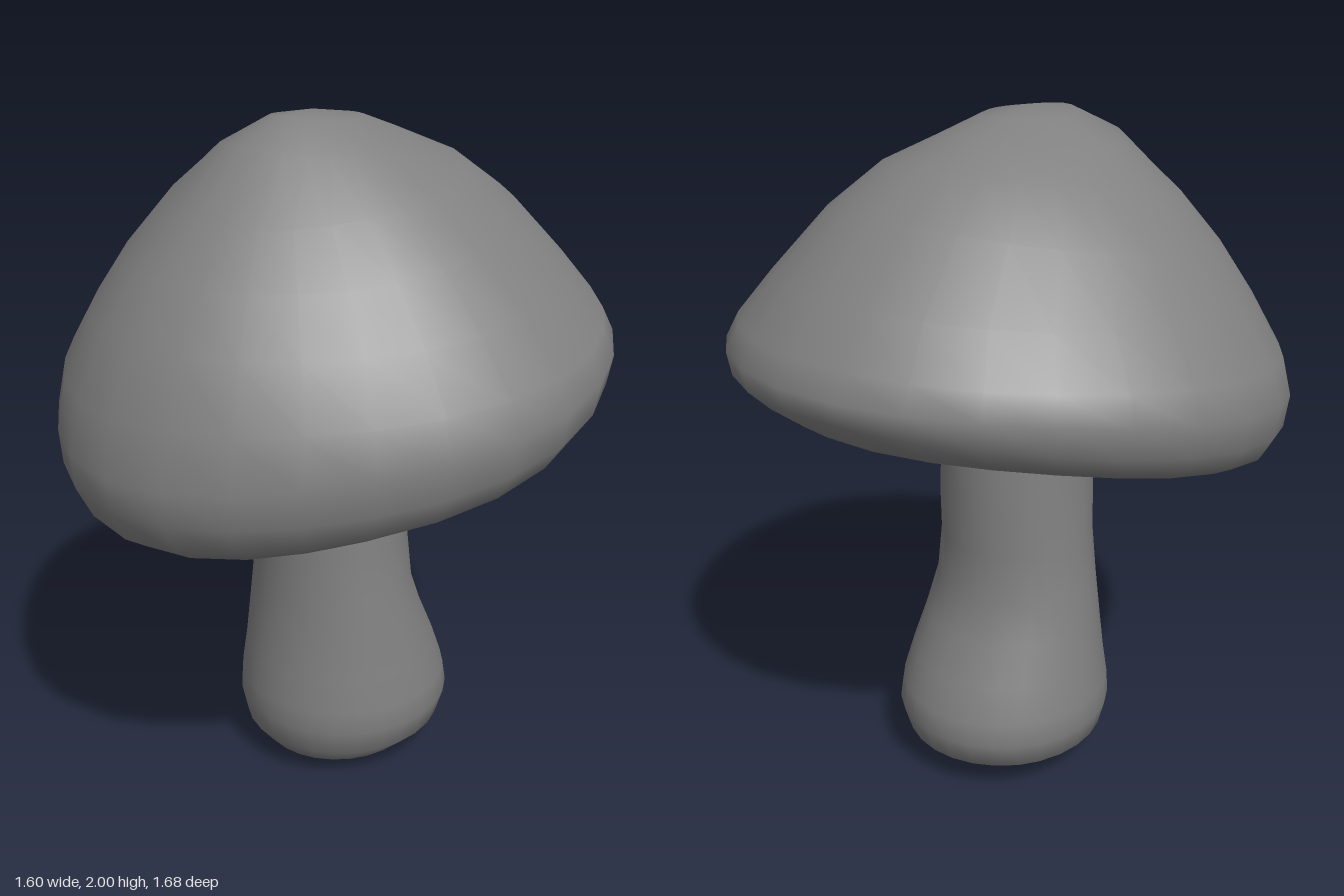
import * as THREE from 'three';
import { mergeVertices } from 'three/addons/utils/BufferGeometryUtils.js';

const SEGMENTS = 28;

// Skin through tilted oval rings, listed from top to bottom.
// Ring: [front z, front y, back z, back y, half width, side y]
function loft(rings, pointed) {
  const pos = [], index = [];
  rings.forEach(([zf, yf, zb, yb, w, ys], i) => {
    for (let j = 0; j < SEGMENTS; j++) {
      const a = (j / SEGMENTS) * Math.PI * 2;
      const c = Math.cos(a), s = Math.sin(a);
      const k = 1 - pointed * (1 + 0.6 * c) * Math.sin(2 * a) ** 2; // egg outline, pointed at the front
      pos.push(
        w * s * k,
        ys + ((yf - yb) / 2) * c + ((yf + yb) / 2 - ys) * c ** 4,
        (zf + zb) / 2 + ((zf - zb) / 2) * c * k
      );
      if (i === rings.length - 1) continue;
      const p = i * SEGMENTS + j, q = i * SEGMENTS + ((j + 1) % SEGMENTS);
      index.push(p, p + SEGMENTS, q + SEGMENTS, p, q + SEGMENTS, q);
    }
  });
  let geo = new THREE.BufferGeometry();
  geo.setAttribute('position', new THREE.Float32BufferAttribute(pos, 3));
  geo.setIndex(index);
  geo = mergeVertices(geo, 1e-4);
  geo.computeVertexNormals();
  return geo;
}

export function createModel() {
  const group = new THREE.Group();
  group.name = 'mushroom';
  const material = new THREE.MeshStandardMaterial({ color: 0x808080, side: THREE.DoubleSide });
  const add = (name, geometry) => {
    const mesh = new THREE.Mesh(geometry, material);
    mesh.name = name;
    group.add(mesh);
  };

  // Cap: dome leaning forward, rounded rim, then a hollow underneath
  add('cap', loft([
    [0.08, 2.0, 0.08, 2.0, 0, 2.0],
    [0.2, 1.99, -0.08, 1.98, 0.13, 1.98],
    [0.34, 1.93, -0.2, 1.94, 0.27, 1.91],
    [0.52, 1.75, -0.36, 1.88, 0.41, 1.81],
    [0.63, 1.63, -0.52, 1.78, 0.55, 1.68],
    [0.73, 1.49, -0.7, 1.61, 0.67, 1.53],
    [0.81, 1.32, -0.8, 1.49, 0.77, 1.4],
    [0.84, 1.17, -0.84, 1.42, 0.8, 1.31],
    [0.835, 1.08, -0.83, 1.36, 0.785, 1.22],
    [0.79, 0.99, -0.77, 1.3, 0.745, 1.155],
    [0.73, 0.95, -0.7, 1.25, 0.69, 1.125],
    [0.66, 0.93, -0.61, 1.205, 0.62, 1.115],
    [0.57, 0.97, -0.54, 1.235, 0.55, 1.145],
    [0.4, 1.08, -0.4, 1.25, 0.4, 1.19],
    [0.2, 1.17, -0.2, 1.26, 0.2, 1.22],
    [0, 1.23, 0, 1.23, 0, 1.23],
  ], 0.033));

  // Stem: narrow neck flaring into the cap, bulging foot pushed to the back
  const stem = [
    [1.26, 0.22, -0.32, 0.25], [1.17, 0.23, -0.26, 0.225], [1.1, 0.235, -0.235, 0.215],
    [1.03, 0.24, -0.23, 0.215], [0.9, 0.24, -0.23, 0.228], [0.75, 0.235, -0.222, 0.235],
    [0.6, 0.24, -0.23, 0.255], [0.48, 0.25, -0.275, 0.278], [0.36, 0.265, -0.335, 0.3],
    [0.26, 0.28, -0.375, 0.32], [0.19, 0.283, -0.388, 0.327], [0.11, 0.268, -0.365, 0.305],
    [0.05, 0.22, -0.28, 0.24], [0.015, 0.11, -0.15, 0.13], [0, -0.02, -0.02, 0],
  ];
  add('stem', loft(stem.map(([y, zf, zb, w]) => [zf, y, zb, y, w, y]), 0));

  return group;
}
